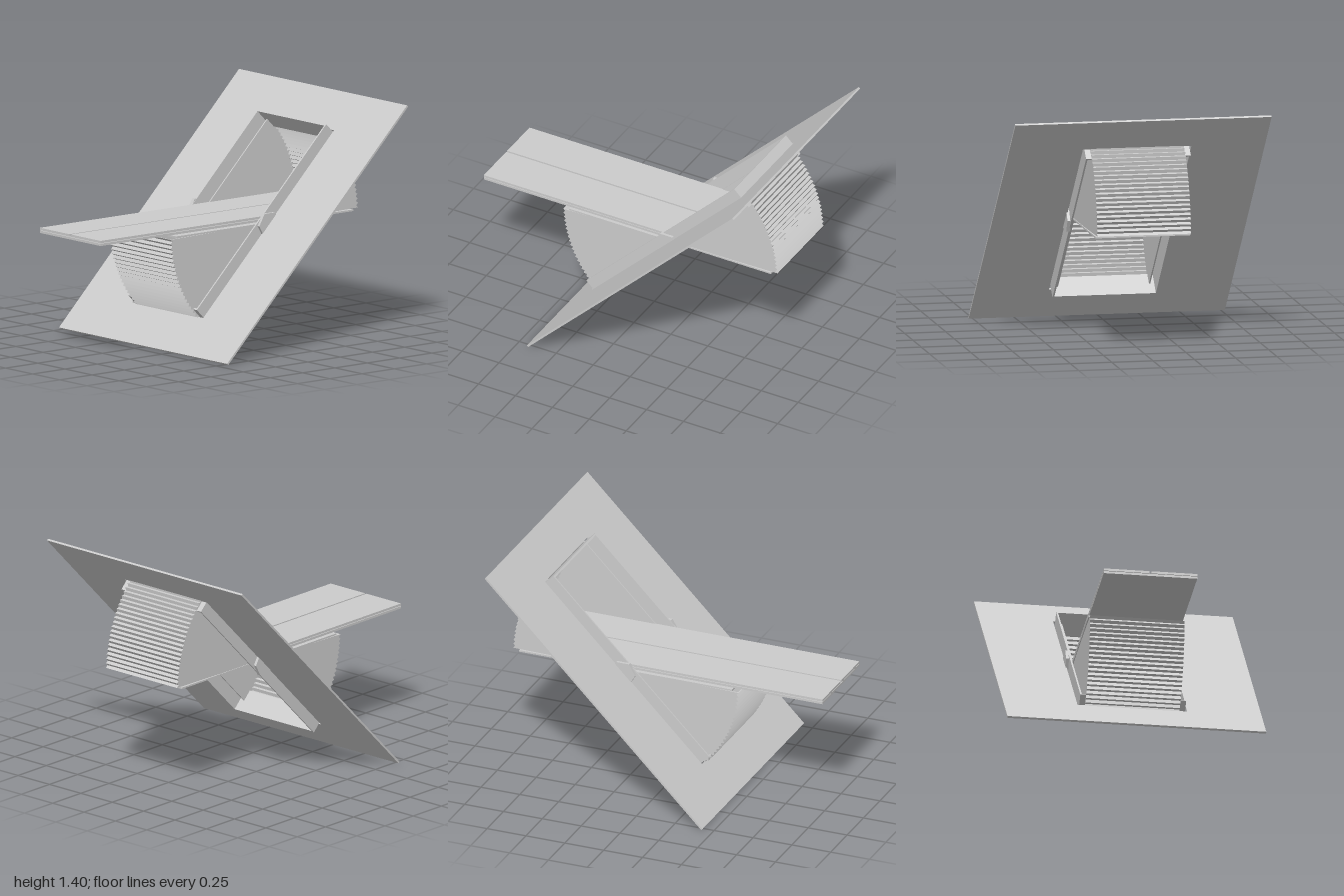
import * as THREE from 'three';

const PIVOT_Y = 0.702, PIVOT_Z = -0.265;
const material = new THREE.MeshStandardMaterial({ color: 0xcccccc, flatShading: true, side: THREE.DoubleSide });

function add(parent, name, geometry, x = 0, y = 0, z = 0) {
  const mesh = new THREE.Mesh(geometry, material);
  mesh.name = name;
  mesh.position.set(x, y, z);
  parent.add(mesh);
  return mesh;
}

const box = (w, h, d) => new THREE.BoxGeometry(w, h, d);

// Extrudes a side profile (X = backward, Y = up) across the width, centred on x
function extrudeAcross(shape, width) {
  const g = new THREE.ExtrudeGeometry(shape, { depth: width, bevelEnabled: false });
  g.translate(0, 0, -width / 2);
  return g.rotateY(Math.PI / 2);
}

// Zigzag arc around the pivot
function zigzag(inner, outer, teeth, from, to) {
  const points = [];
  for (let i = 0; i <= teeth * 2; i++) {
    const a = from + (to - from) * i / (teeth * 2);
    const r = i % 2 ? inner : outer;
    points.push(new THREE.Vector2(r * Math.cos(a), r * Math.sin(a)));
  }
  return points;
}

// Hollow quarter scoop: ridged curved sheet between two sector walls
function makeScoop(name) {
  const scoop = new THREE.Group();
  scoop.name = name;
  const from = 0.016, to = Math.PI / 4, teeth = 20;
  const outer = zigzag(0.711, 0.726, teeth, from, to);
  const inner = zigzag(0.704, 0.719, teeth, from, to).reverse();
  add(scoop, 'ridgedSheet', extrudeAcross(new THREE.Shape([...outer, ...inner]), 0.56));
  const sector = new THREE.Shape([new THREE.Vector2(0, 0), ...outer]);
  for (const side of [-1, 1]) {
    add(scoop, 'sectorWall', extrudeAcross(sector, 0.008), side * 0.279);
  }
  return scoop;
}

export function createModel() {
  const model = new THREE.Group();
  model.name = 'tiltedHatch';

  // Everything that leans at 45 degrees
  const leaning = new THREE.Group();
  leaning.name = 'leaningFrame';
  leaning.position.set(0, PIVOT_Y, PIVOT_Z);
  leaning.rotation.x = -Math.PI / 4;
  model.add(leaning);

  // Large panel with a rectangular opening
  const rect = (Type, w, h) => new Type([
    new THREE.Vector2(-w, -h), new THREE.Vector2(w, -h),
    new THREE.Vector2(w, h), new THREE.Vector2(-w, h)]);
  const panel = rect(THREE.Shape, 0.775, 0.985);
  panel.holes.push(rect(THREE.Path, 0.328, 0.715));
  const panelGeometry = new THREE.ExtrudeGeometry(panel, { depth: 0.012, bevelEnabled: false });
  add(leaning, 'panel', panelGeometry, 0, 0, -0.006);

  // Thin box frame inside the opening
  for (const side of [-1, 1]) {
    add(leaning, 'sideRail', box(0.01, 1.41, 0.14), side * 0.312);
    add(leaning, 'endBar', box(0.634, 0.012, 0.14), 0, side * 0.702);
  }

  // Swinging part: two opposite scoops, a base plate and hinge pins
  const rotor = new THREE.Group();
  rotor.name = 'rotor';
  rotor.position.set(0, PIVOT_Y, PIVOT_Z);
  model.add(rotor);
  rotor.add(makeScoop('rearScoop'));
  const frontScoop = makeScoop('frontScoop');
  frontScoop.rotation.x = Math.PI;
  rotor.add(frontScoop);
  add(rotor, 'basePlate', box(0.575, 0.01, 1.37));
  for (const side of [-1, 1]) {
    const pin = new THREE.CylinderGeometry(0.081, 0.081, 0.024, 6);
    pin.rotateZ(Math.PI / 2);
    add(rotor, 'hingePin', pin, side * 0.322);
  }

  // Long two-layer shelf sliding out of the opening, top boards split by a groove
  const back = -0.95, front = 1;
  const length = front - back, mid = (front + back) / 2;
  add(model, 'shelfBase', box(0.56, 0.014, length), 0, 0.724, mid);
  for (const side of [-1, 1]) {
    add(model, 'shelfBoard', box(0.274, 0.014, length), side * 0.143, 0.741, mid);
  }

  return model;
}
